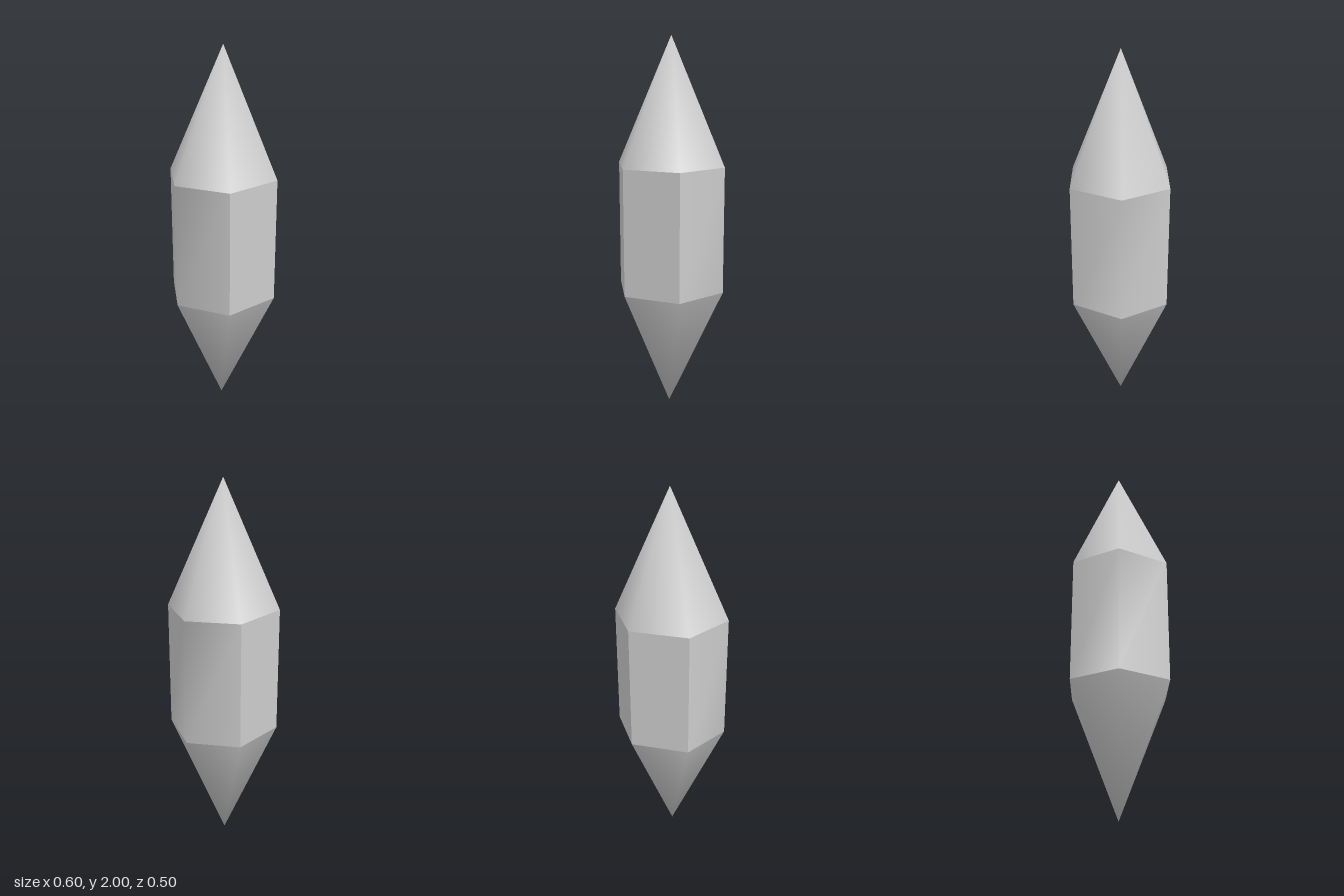
import * as THREE from 'three';

const LOW = 0.67, HIGH = 1.34;

// Slightly irregular hexagon [x, z], running from +x towards the front
const HEX = [[0.3, -0.008], [0.154, 0.25], [-0.154, 0.25], [-0.3, -0.008], [-0.154, -0.25], [0.154, -0.25]];

const material = new THREE.MeshStandardMaterial({ color: 0xcccccc });

function makeMesh(name, positions, index) {
  const geometry = new THREE.BufferGeometry();
  geometry.setAttribute('position', new THREE.Float32BufferAttribute(positions, 3));
  geometry.setIndex(index);
  geometry.computeVertexNormals();
  const mesh = new THREE.Mesh(geometry, material);
  mesh.name = name;
  return mesh;
}

// Strip of wall over consecutive corners; smooth inside, sharp at its ends
function wall(name, corners) {
  const positions = [], index = [];
  corners.forEach((c, i) => {
    const [x, z] = HEX[c];
    positions.push(x, LOW, z, x, HIGH, z);
    const a = i * 2;
    if (i > 0) index.push(a - 2, a - 1, a, a - 1, a + 1, a);
  });
  return makeMesh(name, positions, index);
}

// Six-sided point with a shared apex, so it shades smoothly
function tip(name, baseY, apex) {
  const positions = [...apex], index = [];
  HEX.forEach(([x, z], i) => {
    positions.push(x, baseY, z);
    const a = i + 1, b = ((i + 1) % 6) + 1;
    if (apex[1] > baseY) index.push(0, b, a);
    else index.push(0, a, b);
  });
  return makeMesh(name, positions, index);
}

export function createModel() {
  const crystal = new THREE.Group();
  crystal.name = 'crystal';

  // Prism body: flat front and back, softly shaded side pairs
  const body = new THREE.Group();
  body.name = 'body';
  body.add(
    wall('frontFace', [1, 2]),
    wall('rightFaces', [2, 3, 4]),
    wall('backFace', [4, 5]),
    wall('leftFaces', [5, 0, 1])
  );

  // Points above and below
  crystal.add(
    body,
    tip('upperTip', HIGH, [0.006, 2, -0.004]),
    tip('lowerTip', LOW, [-0.006, 0, -0.004])
  );
  return crystal;
}
